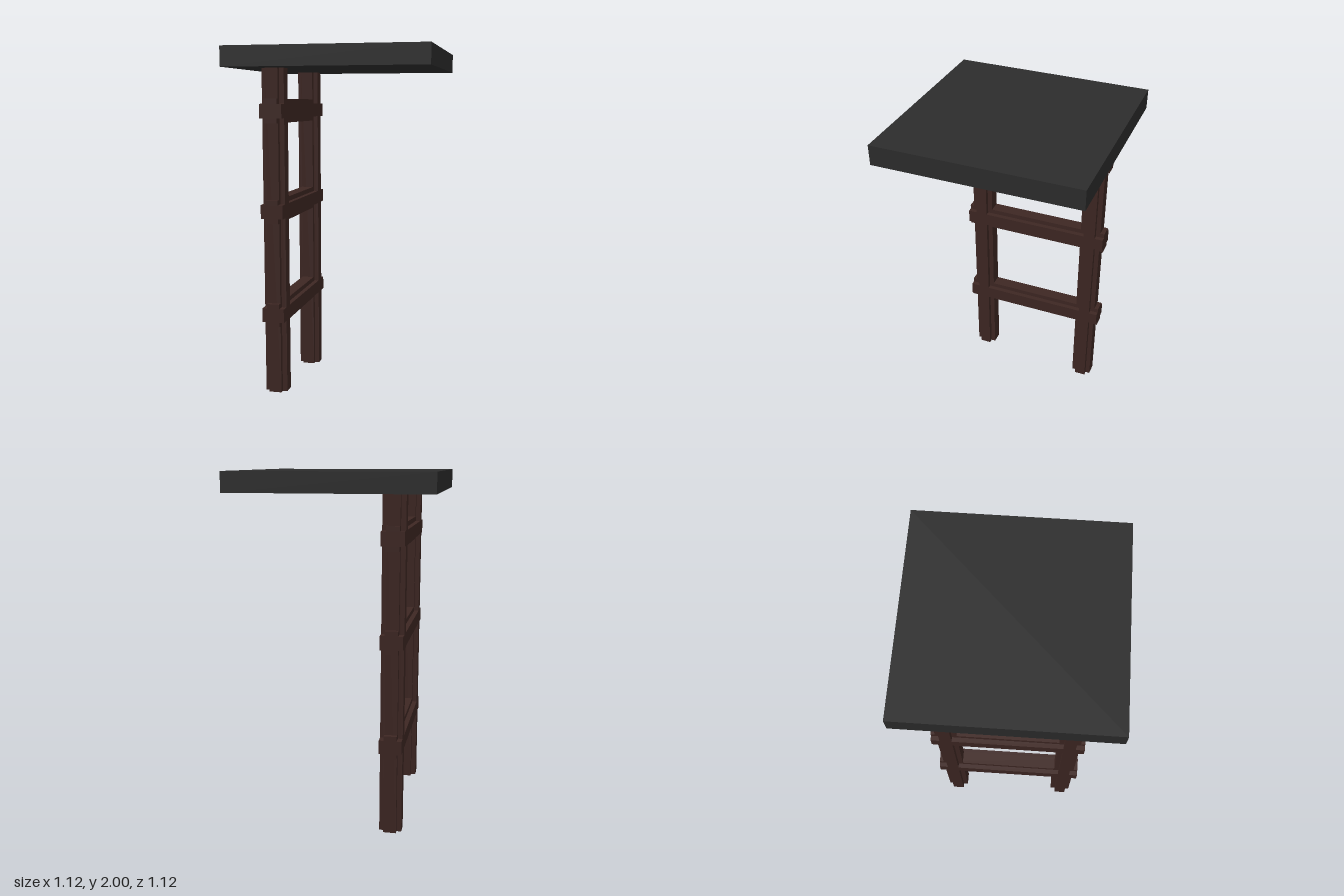
import * as THREE from 'three';

// Square beam section with a small rectangular notch at each corner
function notchedSection(w, h, n) {
  const a = w / 2, b = h / 2;
  const s = new THREE.Shape();
  s.moveTo(-a + n, -b);
  [[a - n, -b], [a - n, -b + n], [a, -b + n], [a, b - n], [a - n, b - n], [a - n, b],
    [-a + n, b], [-a + n, b - n], [-a, b - n], [-a, -b + n], [-a + n, -b + n]]
    .forEach(([x, y]) => s.lineTo(x, y));
  s.closePath();
  return s;
}

function beam(name, w, h, length, material) {
  const geo = new THREE.ExtrudeGeometry(notchedSection(w, h, 0.027), { depth: length, bevelEnabled: false });
  const mesh = new THREE.Mesh(geo, material);
  mesh.name = name;
  return mesh;
}

export function createModel() {
  const group = new THREE.Group();
  group.name = 'ladderWithHatch';
  const wood = new THREE.MeshStandardMaterial({ color: 0x3e2723 });
  const dark = new THREE.MeshStandardMaterial({ color: 0x2d2d2d });
  const ladderX = -0.327;

  // Square slab on top
  const slab = new THREE.Mesh(new THREE.BoxGeometry(1.115, 0.11, 1.115), dark);
  slab.name = 'topSlab';
  slab.position.y = 1.945;
  group.add(slab);

  // Upright rails; the front one stops slightly above the ground
  for (const [name, z, bottom] of [['frontRail', 0.34, 0.06], ['backRail', -0.36, 0]]) {
    const rail = beam(name, 0.126, 0.122, 1.89 - bottom, wood);
    rail.rotation.x = -Math.PI / 2;
    rail.position.set(ladderX, bottom, z);
    group.add(rail);
  }

  // Rungs passing through both rails
  [0.517, 1.105, 1.658].forEach((y, i) => {
    const rung = beam('rung' + (i + 1), 0.126, 0.132, 0.87, wood);
    rung.position.set(ladderX, y, -0.445);
    group.add(rung);
  });

  return group;
}
